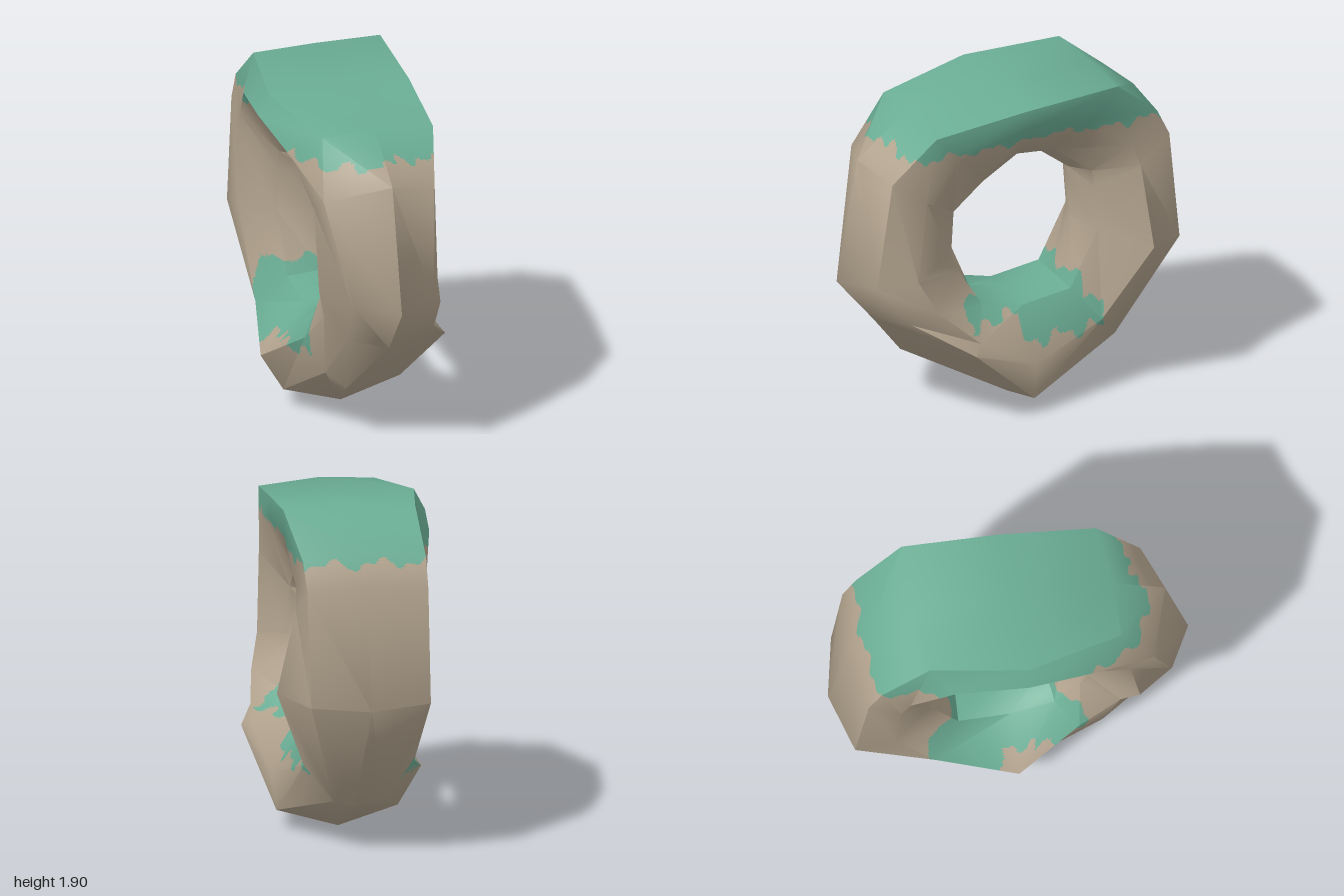
import * as THREE from 'three';
import { toCreasedNormals } from 'three/addons/utils/BufferGeometryUtils.js';

// Cross-sections around the ring, from the front over the top to the back and under.
// outer z, y | inner z, y | ridge x | outer edges: right x, depth, left x, depth | sides: right x, left x, depth
const STATIONS = [
  [1.0, 0.87, 0.32, 0.99, 0.01, 0.24, 0.2, -0.22, 0.2, 0.33, -0.35, 0.5],
  [0.87, 1.57, 0.32, 1.2, 0, 0.27, 0.15, -0.35, 0.24, 0.33, -0.36, 0.48],
  [0.58, 1.8, 0.16, 1.335, 0, 0.34, 0.06, -0.3, 0.03, 0.34, -0.43, 0.35],
  [0.03, 1.85, 0, 1.47, 0, 0.38, 0, -0.42, 0, 0.38, -0.48, 0.3],
  [-0.51, 1.9, -0.18, 1.44, 0.03, 0.4, 0, -0.33, 0.02, 0.37, -0.43, 0.4],
  [-0.79, 1.69, -0.4, 1.27, 0, 0.34, 0.04, -0.34, 0.05, 0.35, -0.37, 0.45],
  [-0.88, 1.54, -0.405, 1.17, 0, 0.33, 0.06, -0.34, 0.08, 0.36, -0.36, 0.45],
  [-1.0, 0.87, -0.41, 0.97, 0, 0.32, 0.14, -0.34, 0.14, 0.47, -0.35, 0.52],
  [-0.64, 0.25, -0.3, 0.66, 0.03, 0.14, 0.08, -0.13, 0.09, 0.28, -0.33, 0.5],
  [-0.03, 0, -0.03, 0.63, 0.01, 0.35, 0.16, -0.32, 0.16, 0.38, -0.45, 0.5],
  [0.54, 0.3, 0.2, 0.68, -0.15, 0.47, 0.48, -0.25, 0.2, 0.43, -0.32, 0.62],
  [0.78, 0.6, 0.3, 0.92, 0.01, 0.3, 0.2, -0.2, 0.15, 0.38, -0.29, 0.45],
];

// Eight corners of one cross-section; the floor of the hole is flatter than the rest
function section([oz, oy, iz, iy, ridge, oR, tR, oL, tL, sR, sL, ts]) {
  const at = (x, t) => [x, oy + (iy - oy) * t, oz + (iz - oz) * t];
  const ti = iy < 0.7 ? 0.95 : 0.88;
  return [
    at(ridge, 0), at(oR, tR), at(sR, ts), at(0.2, ti),
    at(0, 1), at(-0.2, ti), at(sL, ts), at(oL, tL),
  ];
}

// Coarse chiselled ring
function ringGeometry() {
  const positions = STATIONS.flatMap((s) => section(s).flat());
  const index = [];
  const n = STATIONS.length;
  for (let i = 0; i < n; i++) {
    for (let j = 0; j < 8; j++) {
      const a = i * 8 + j;
      const b = i * 8 + ((j + 1) % 8);
      const c = ((i + 1) % n) * 8 + j;
      const d = ((i + 1) % n) * 8 + ((j + 1) % 8);
      index.push(a, b, c, b, d, c);
    }
  }
  const geometry = new THREE.BufferGeometry();
  geometry.setAttribute('position', new THREE.Float32BufferAttribute(positions, 3));
  geometry.setIndex(index);
  return toCreasedNormals(geometry, 0.8);
}

// Grass caps the top and lies in the bottom of the hole, with ragged edges
function isGrass({ x, y, z }) {
  const wobble = 0.02 * Math.sin(27 * z + 23 * x) + 0.014 * Math.sin(61 * z - 47 * x + 1);
  if (y > 1.65 + wobble) return true;
  const lowLeft = z < -0.1 ? 0.36 : 0.45;
  const lowRight = z > 0.02 ? 0.58 : 0.43;
  const low = x < -0.1 ? lowLeft : lowRight;
  const high = z < -0.38 && x > 0.2 ? 0.58 : 0.72;
  return y > low + 1.3 * wobble && y < high + wobble && z > -0.48 + wobble && z < 0.37 + wobble;
}

// Cut every facet into small triangles and sort them into rock and grass
function splitSurface(source, steps) {
  const parts = [0, 1].map(() => ({ position: [], normal: [] }));
  const pos = source.getAttribute('position');
  const nor = source.getAttribute('normal');
  const read = (attribute, f) => [0, 1, 2].map((k) => new THREE.Vector3().fromBufferAttribute(attribute, f + k));
  const mix = (v, i, j) => new THREE.Vector3()
    .addScaledVector(v[0], 1 - (i + j) / steps)
    .addScaledVector(v[1], i / steps)
    .addScaledVector(v[2], j / steps);
  for (let f = 0; f < pos.count; f += 3) {
    const p = read(pos, f);
    const m = read(nor, f);
    const add = (corners) => {
      const points = corners.map(([i, j]) => mix(p, i, j));
      const middle = new THREE.Vector3();
      points.forEach((q) => middle.addScaledVector(q, 1 / 3));
      const part = parts[isGrass(middle) ? 1 : 0];
      corners.forEach(([i, j], k) => {
        part.position.push(...points[k].toArray());
        part.normal.push(...mix(m, i, j).normalize().toArray());
      });
    };
    for (let i = 0; i < steps; i++) {
      for (let j = 0; j < steps - i; j++) {
        add([[i, j], [i + 1, j], [i, j + 1]]);
        if (i + j < steps - 1) add([[i + 1, j], [i + 1, j + 1], [i, j + 1]]);
      }
    }
  }
  return parts.map(({ position, normal }) => {
    const geometry = new THREE.BufferGeometry();
    geometry.setAttribute('position', new THREE.Float32BufferAttribute(position, 3));
    geometry.setAttribute('normal', new THREE.Float32BufferAttribute(normal, 3));
    return geometry;
  });
}

export function createModel() {
  const rock = new THREE.MeshStandardMaterial({ color: 0xb0a18c });
  rock.name = 'rock';
  const grass = new THREE.MeshStandardMaterial({ color: 0x6aac94 });
  grass.name = 'grass';

  const group = new THREE.Group();
  group.name = 'rockRing';
  const [rockGeometry, grassGeometry] = splitSurface(ringGeometry(), 22);
  const stone = new THREE.Mesh(rockGeometry, rock);
  stone.name = 'stoneRing';
  const cover = new THREE.Mesh(grassGeometry, grass);
  cover.name = 'grassCover';
  group.add(stone, cover);
  return group;
}
